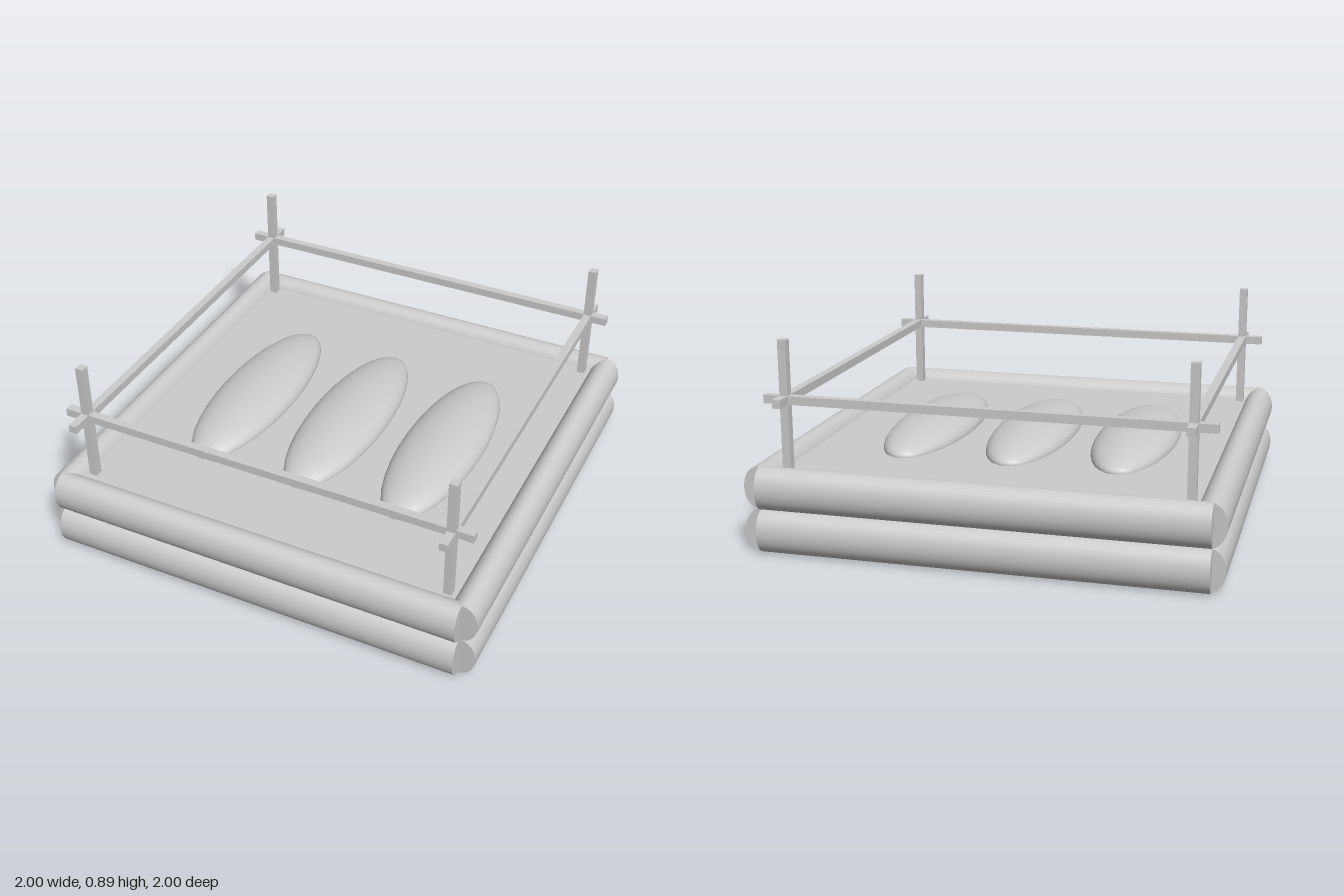
import * as THREE from 'three';

export function createModel() {
  const model = new THREE.Group();
  const grey = new THREE.MeshStandardMaterial({ color: 0xcccccc });
  const greyDouble = new THREE.MeshStandardMaterial({ color: 0xcccccc, side: THREE.DoubleSide });

  const add = (name, geometry, x, y, z, material = grey) => {
    const mesh = new THREE.Mesh(geometry, material);
    mesh.name = name;
    mesh.position.set(x, y, z);
    model.add(mesh);
    return mesh;
  };

  const LENGTH = 1.87, MID_X = -0.008, MID_Z = -0.003;
  const FLOOR = 0.326, BAR = 0.036, RAIL_Y = 0.638, POST_TOP = 0.89;

  // Oval logs lying along x or z, stacked in two layers
  const logX = new THREE.CylinderGeometry(1, 1, LENGTH, 40)
    .rotateZ(Math.PI / 2).scale(1, 0.092, 0.067);
  const logZ = new THREE.CylinderGeometry(1, 1, LENGTH, 40)
    .rotateX(Math.PI / 2).scale(0.067, 0.092, 1);
  for (const y of [0.093, 0.277]) {
    for (const s of [-1, 1]) {
      add(s > 0 ? 'frontLog' : 'backLog', logX, MID_X, y, s * 0.932);
      add(s > 0 ? 'leftLog' : 'rightLog', logZ, s * 0.932, y, MID_Z);
    }
  }

  // Thin floor sheet between the upper logs
  add('floor', new THREE.PlaneGeometry(1.85, 1.85).rotateX(-Math.PI / 2), 0, FLOOR, 0, greyDouble);

  // Long oval mounds, half sunk through the floor
  const mound = new THREE.SphereGeometry(1, 32, 20).scale(0.182, 0.086, 0.543);
  for (const x of [-0.48, -0.01, 0.461]) add('mound', mound, x, FLOOR, MID_Z);

  // Corner posts
  const postHeight = POST_TOP - FLOOR;
  const post = new THREE.BoxGeometry(BAR, postHeight, BAR);
  for (const [x, z] of [[-0.847, -0.847], [0.837, -0.847], [-0.847, 0.822], [0.837, 0.838]]) {
    add('post', post, x, FLOOR + postHeight / 2, z);
  }

  // Rails crossing at the posts
  const railX = new THREE.BoxGeometry(LENGTH, BAR, BAR);
  const railZ = new THREE.BoxGeometry(BAR, BAR, LENGTH);
  add('frontRail', railX, MID_X, RAIL_Y, 0.822);
  add('backRail', railX, MID_X, RAIL_Y, -0.848);
  add('leftRail', railZ, 0.838, RAIL_Y, MID_Z);
  add('rightRail', railZ, -0.848, RAIL_Y, MID_Z);

  return model;
}
